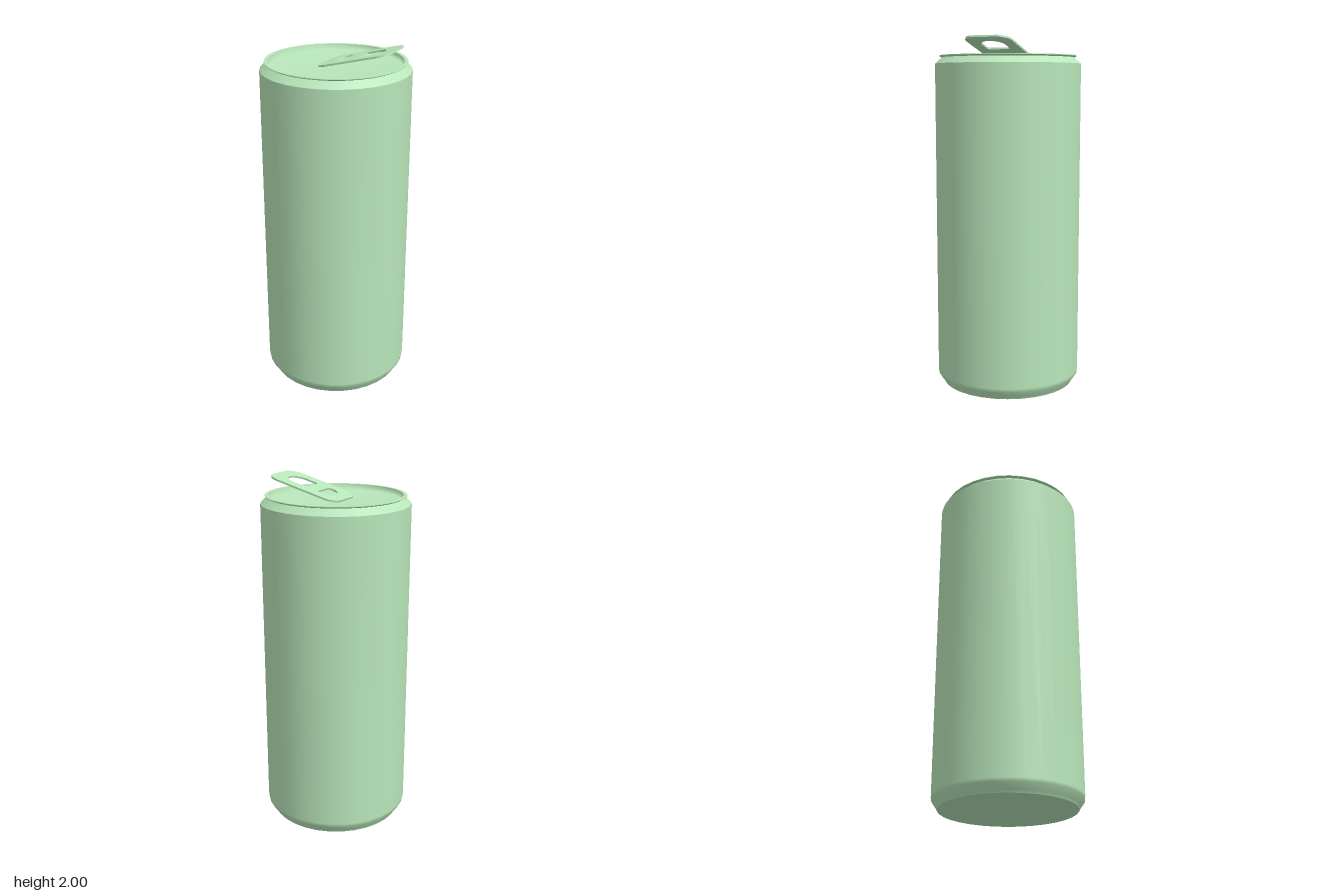
import * as THREE from 'three';

const SIDES = 32;
const material = new THREE.MeshStandardMaterial({ color: 0xb9e6ba });

// Revolved part; the profile runs from the base centre outward, up and back in
function lathe(name, profile) {
  const points = profile.map(([r, y]) => new THREE.Vector2(r, y));
  const mesh = new THREE.Mesh(new THREE.LatheGeometry(points, SIDES), material);
  mesh.name = name;
  return mesh;
}

// Rectangle with separate corner radii for its left and right ends
function roundedEnds(path, x0, x1, y0, y1, rl, rr) {
  const q = Math.PI / 2;
  path.absarc(x0 + rl, y0 + rl, rl, 2 * q, 3 * q, false);
  path.absarc(x1 - rr, y0 + rr, rr, 3 * q, 4 * q, false);
  path.absarc(x1 - rr, y1 - rr, rr, 0, q, false);
  path.absarc(x0 + rl, y1 - rl, rl, q, 2 * q, false);
  path.closePath();
  return path;
}

function createPullTab() {
  const thickness = 0.01;
  const shape = roundedEnds(new THREE.Shape(), -0.072, 0.368, -0.124, 0.144, 0.07, 0.07);
  shape.holes.push(
    roundedEnds(new THREE.Path(), 0.003, 0.077, -0.058, 0.078, 0.05, 0.018),
    roundedEnds(new THREE.Path(), 0.149, 0.297, -0.058, 0.078, 0.018, 0.067)
  );
  const geometry = new THREE.ExtrudeGeometry(shape, {
    depth: thickness, bevelEnabled: false, curveSegments: 8
  });
  geometry.translate(0, 0, -thickness);
  geometry.rotateX(-Math.PI / 2);
  const tab = new THREE.Mesh(geometry, material);
  tab.name = 'pullTab';
  tab.rotation.z = THREE.MathUtils.degToRad(15);
  tab.position.y = 1.905;
  return tab;
}

export function createModel() {
  const can = new THREE.Group();
  can.name = 'drinkCan';
  can.add(
    lathe('base', [[0, 0], [0.383, 0]]),
    // wall with its tapered foot
    lathe('body', [[0.383, 0], [0.39, 0.015], [0.415, 0.05], [0.417, 0.07], [0.417, 1.858]]),
    lathe('shoulder', [[0.417, 1.858], [0.378, 1.893]]),
    // thin lip overhanging the neck
    lathe('lipUnderside', [[0.378, 1.893], [0.392, 1.9]]),
    lathe('lipEdge', [[0.392, 1.9], [0.392, 1.904]]),
    lathe('rim', [[0.392, 1.904], [0.372, 1.904]]),
    // recessed lid, softly shaded into its wall
    lathe('lid', [[0.372, 1.904], [0.366, 1.872], [0, 1.868]]),
    createPullTab()
  );
  return can;
}
